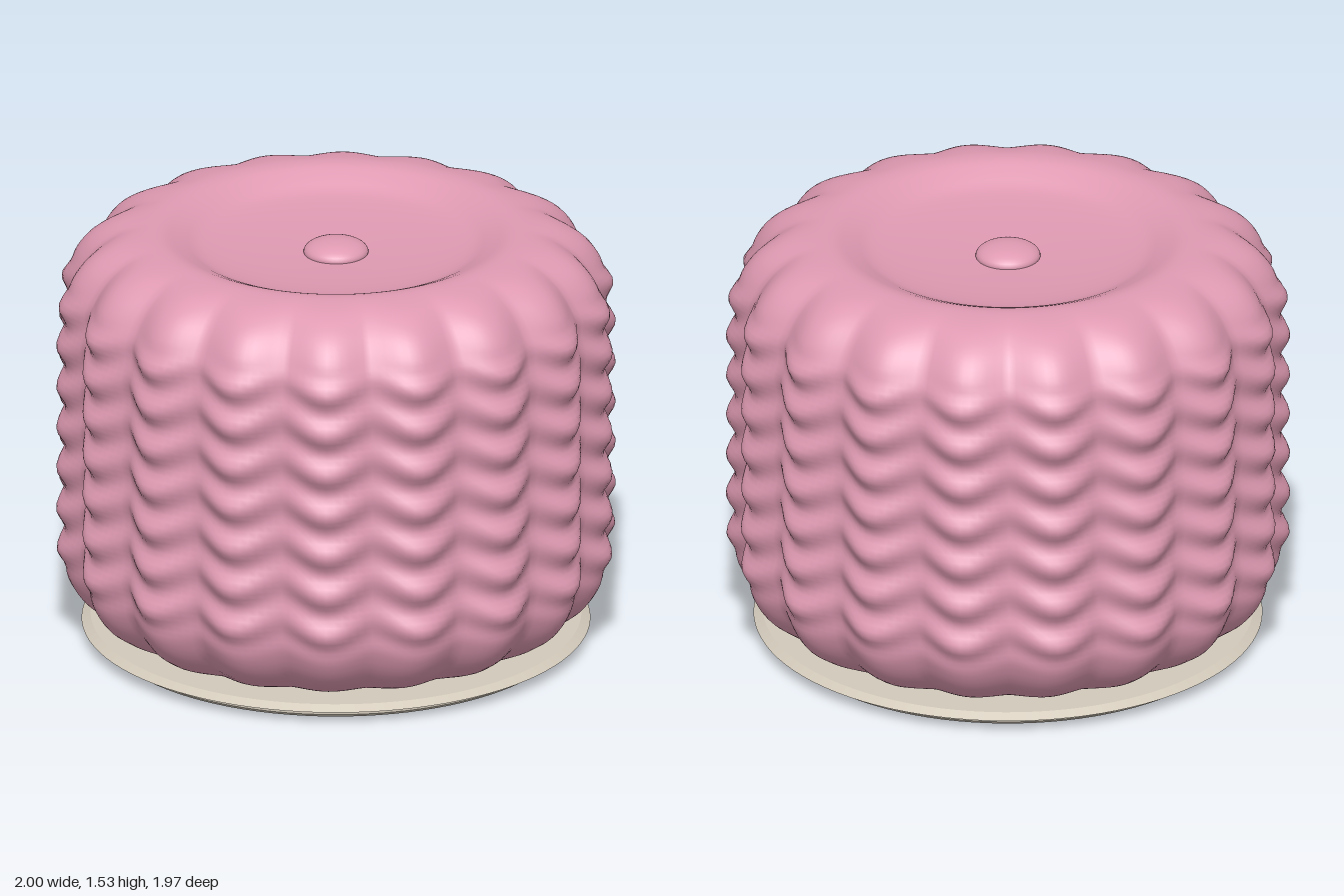
import * as THREE from 'three';
import { mergeVertices } from 'three/addons/utils/BufferGeometryUtils.js';

const LOBES = 18, ROW = 0.154, TOP_ROW = 1.28;

const pts = list => list.map(([r, y]) => new THREE.Vector2(r, y));
const smooth = (x, a, b) => THREE.MathUtils.smoothstep(x, a, b);

// Soft cushion: a lathe whose wall is scalloped into lobes and rippled by drooping knit rows
function cushionGeometry() {
  const profile = new THREE.SplineCurve(pts([
    [0, 0.055], [0.4, 0.055], [0.72, 0.06], [0.85, 0.115], [0.925, 0.19], [0.97, 0.29], [0.981, 0.4],
    [0.981, 0.6], [0.981, 0.8], [0.981, 1.0], [0.981, 1.15], [0.976, 1.26], [0.95, 1.355], [0.89, 1.44],
    [0.8, 1.496], [0.7, 1.521], [0.62, 1.523], [0.55, 1.497], [0.47, 1.464], [0.3, 1.445], [0, 1.432],
  ])).getSpacedPoints(150);
  profile.forEach(p => { p.x = Math.max(p.x, 0); });
  profile[0].x = profile[150].x = 0;
  let g = new THREE.LatheGeometry(profile, LOBES * 12);
  const pos = g.attributes.position;
  for (let i = 0; i < pos.count; i++) {
    const x = pos.getX(i), y = pos.getY(i), z = pos.getZ(i);
    const r = Math.hypot(x, z);
    if (r < 0.5) continue;
    const c = Math.cos(Math.atan2(z, x) * LOBES / 2);
    const lobe = 0.5 * c * c + 0.5 * Math.abs(c);       // 1 on a lobe, 0 in a groove
    const groove = 0.052 * (1 - lobe) * smooth(r, 0.6, 0.92);
    const band = smooth(y, 0.24, 0.36) * (1 - smooth(y, 1.27, 1.38));
    const phase = (y - TOP_ROW - 0.055 * (1 - lobe)) / ROW * Math.PI * 2;
    const knit = 0.017 * band * (0.35 + 0.65 * lobe) * Math.cos(phase);
    const k = (r - groove + knit) / r;
    pos.setXYZ(i, x * k, y, z * k);
  }
  g.deleteAttribute('uv');
  g.deleteAttribute('normal');
  g = mergeVertices(g, 1e-5);
  g.computeVertexNormals();
  return g;
}

// Hard-edged disc, each profile segment shaded on its own
function baseGroup(material) {
  const rim = [[0, 0], [0.83, 0], [0.842, 0.012], [0.842, 0.022], [0.9, 0.043], [0.868, 0.062], [0, 0.062]];
  const group = new THREE.Group();
  group.name = 'base';
  for (let i = 0; i < rim.length - 1; i++) {
    const mesh = new THREE.Mesh(new THREE.LatheGeometry(pts([rim[i], rim[i + 1]]), 96), material);
    mesh.name = 'baseRing' + (i + 1);
    group.add(mesh);
  }
  return group;
}

export function createModel() {
  const pink = new THREE.MeshStandardMaterial({ color: 0xdf9ab2 });
  pink.name = 'pink knit';
  const cream = new THREE.MeshStandardMaterial({ color: 0xd2c9ba });
  cream.name = 'cream base';

  const model = new THREE.Group();
  model.name = 'pouf';

  const cushion = new THREE.Mesh(cushionGeometry(), pink);
  cushion.name = 'cushion';

  // Flattened button in the middle of the dished top
  const button = new THREE.Mesh(new THREE.SphereGeometry(0.115, 40, 20), pink);
  button.name = 'button';
  button.scale.y = 0.4;
  button.position.y = 1.44;

  model.add(cushion, button, baseGroup(cream));
  return model;
}
